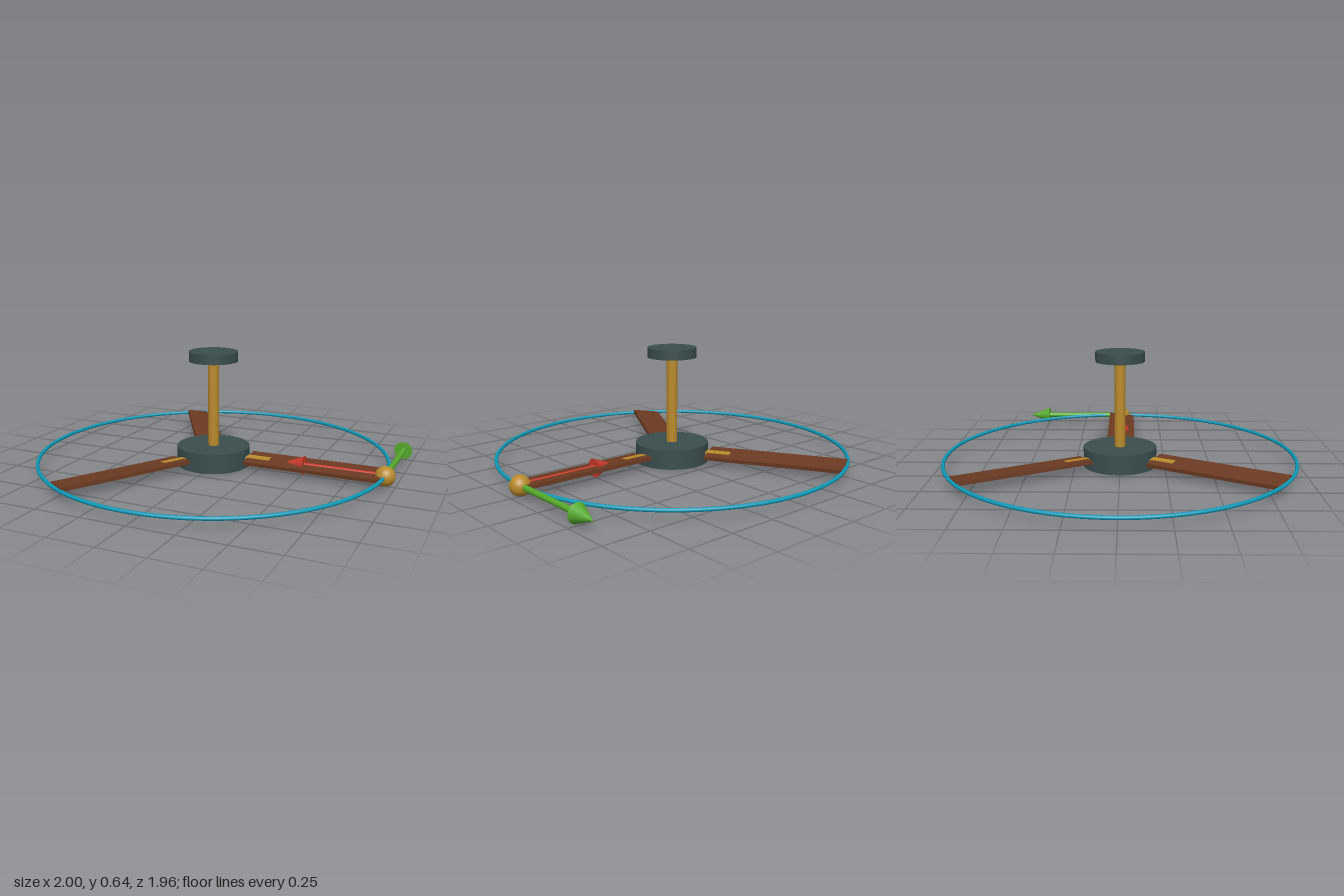
import * as THREE from 'three';

const mat = (name, color) => {
  const m = new THREE.MeshStandardMaterial({ color });
  m.name = name;
  return m;
};

export function createModel() {
  const slate = mat('slate', 0x3a4d4d);
  const brass = mat('brass', 0xb88a2c);
  const wood = mat('wood', 0x6b3a22);
  const teal = mat('teal', 0x0e98b5);
  const red = mat('red', 0xc8382b);
  const green = mat('green', 0x55a82c);

  const root = new THREE.Group();
  root.name = 'ceilingFan';
  const cx = -0.022, midY = 0.055, ringR = 0.968;

  const add = (parent, name, geo, material, x = 0, y = 0, z = 0) => {
    const mesh = new THREE.Mesh(geo, material);
    mesh.name = name;
    mesh.position.set(x, y, z);
    parent.add(mesh);
    return mesh;
  };

  // Motor, rod and ceiling mount
  add(root, 'motorHousing', new THREE.CylinderGeometry(0.203, 0.203, 0.107, 64), slate, cx, 0.0535, 0);
  add(root, 'downRod', new THREE.CylinderGeometry(0.03, 0.03, 0.5, 32), brass, cx, 0.346, 0);
  add(root, 'ceilingMount', new THREE.CylinderGeometry(0.135, 0.135, 0.054, 64), slate, cx, 0.612, 0);

  // Three pitched blades, each with a bracket
  for (let i = 0; i < 3; i++) {
    const arm = new THREE.Group();
    arm.name = 'bladeArm' + (i + 1);
    arm.position.set(cx, midY, 0);
    arm.rotation.set(0, i * Math.PI * 2 / 3, 0);
    const pitched = new THREE.Group();
    pitched.name = 'pitchedBlade';
    pitched.rotation.x = 0.1;
    arm.add(pitched);
    add(pitched, 'blade', new THREE.BoxGeometry(0.75, 0.02, 0.162), wood, 0.588);
    add(pitched, 'bracket', new THREE.BoxGeometry(0.157, 0.023, 0.045), brass, 0.26);
    root.add(arm);
  }

  // Circle swept by the blade tips
  const ring = add(root, 'tipPathRing', new THREE.TorusGeometry(ringR, 0.01, 12, 128), teal, cx, midY, 0);
  ring.rotation.x = Math.PI / 2;

  // Marker ball on the path
  const ballX = cx + ringR;
  add(root, 'tipBall', new THREE.SphereGeometry(0.053, 32, 20), brass, ballX, midY, 0);

  // Arrows starting at the ball, built along +y and turned into place
  const arrow = (name, material, length, headLength, direction) => {
    const g = new THREE.Group();
    g.name = name;
    const shaft = length - headLength;
    add(g, 'arrowShaft', new THREE.CylinderGeometry(0.0155, 0.0155, shaft, 24), material, 0, shaft / 2);
    add(g, 'arrowHead', new THREE.ConeGeometry(0.05, headLength, 32), material, 0, shaft + headLength / 2);
    g.position.set(ballX, midY, 0);
    g.quaternion.setFromUnitVectors(new THREE.Vector3(0, 1, 0), direction);
    root.add(g);
  };
  arrow('inwardArrow', red, 0.556, 0.122, new THREE.Vector3(-1, 0, 0));
  arrow('tangentArrow', green, 0.617, 0.125, new THREE.Vector3(0, 0, -1));

  return root;
}
